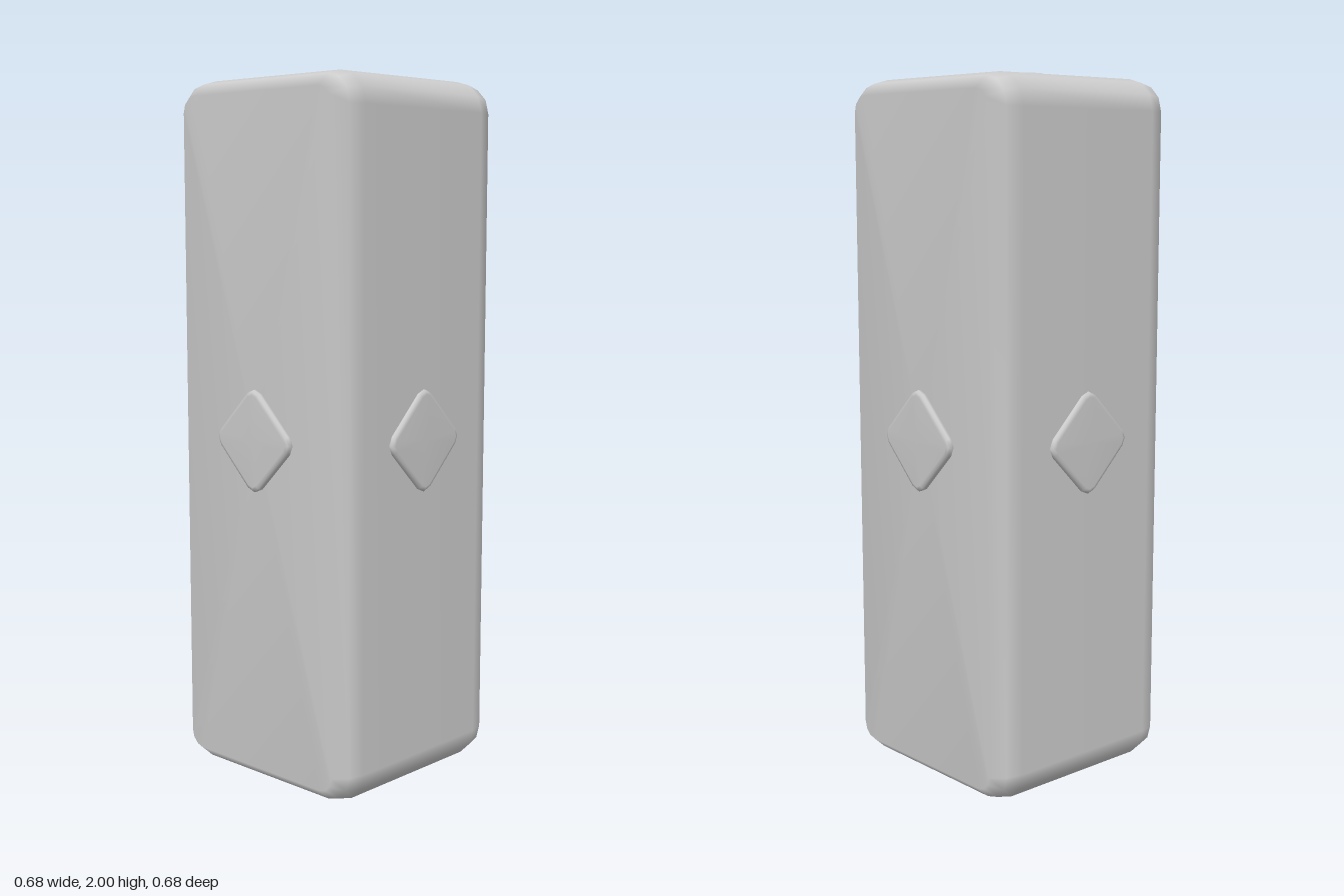
import * as THREE from 'three';

// Rounded rectangle in xy lofted along z. Each ring is [inset, z], ordered back to front.
function loftRounded(hx, hy, r, segments, rings) {
  const pos = [], index = [];
  const corners = [[1, 1], [-1, 1], [-1, -1], [1, -1]];
  const n = 4 * (segments + 1);
  for (const [inset, z] of rings) {
    corners.forEach(([sx, sy], q) => {
      for (let i = 0; i <= segments; i++) {
        const a = (q + i / segments) * Math.PI / 2;
        pos.push(sx * (hx - r) + (r - inset) * Math.cos(a), sy * (hy - r) + (r - inset) * Math.sin(a), z);
      }
    });
  }
  for (let k = 0; k < rings.length - 1; k++) {
    for (let i = 0; i < n; i++) {
      const a = k * n + i, b = k * n + (i + 1) % n;
      index.push(a, b, b + n, a, b + n, a + n);
    }
  }
  // Flat end caps
  const back = pos.length / 3, front = back + 1, last = (rings.length - 1) * n;
  pos.push(0, 0, rings[0][1], 0, 0, rings[rings.length - 1][1]);
  for (let i = 0; i < n; i++) {
    const j = (i + 1) % n;
    index.push(back, j, i, front, last + i, last + j);
  }
  const g = new THREE.BufferGeometry();
  g.setAttribute('position', new THREE.Float32BufferAttribute(pos, 3));
  g.setIndex(index);
  g.computeVertexNormals();
  return g;
}

export function createModel() {
  const model = new THREE.Group();
  model.name = 'pillar';
  const grey = new THREE.MeshStandardMaterial({ color: 0xcccccc });
  grey.name = 'light grey';

  // Tall block with bevelled edges, its front and back bevels cut short
  const r = 0.09, cz = 0.24;
  const half = [[0, cz], [r * 0.134, 0.287], [r * 0.5, 0.323]];
  const rings = [...half.map(([i, z]) => [i, -z]).reverse(), ...half];
  const body = new THREE.Mesh(loftRounded(0.329, 0.988, r, 3, rings), grey);
  body.name = 'body';
  body.position.y = 1;
  model.add(body);

  // Raised diamond stud on each of the six faces; z = 0 is the stud's top
  const studGeometry = loftRounded(0.111, 0.111, 0.035, 2,
    [[0, -0.03], [0, -0.009], [0.005, -0.003], [0.014, 0]]);
  studGeometry.rotateZ(Math.PI / 4);
  const studs = [
    ['frontStud', 0, 0, 0.34], ['backStud', 0, 0, -0.34],
    ['leftStud', 0.341, 0, 0], ['rightStud', -0.341, 0, 0],
    ['topStud', 0, 1, 0], ['bottomStud', 0, -1, 0],
  ];
  for (const [name, x, y, z] of studs) {
    const stud = new THREE.Mesh(studGeometry, grey);
    stud.name = name;
    stud.position.set(x, 1 + y, z);
    stud.quaternion.setFromUnitVectors(new THREE.Vector3(0, 0, 1), new THREE.Vector3(x, y, z).normalize());
    model.add(stud);
  }
  return model;
}
